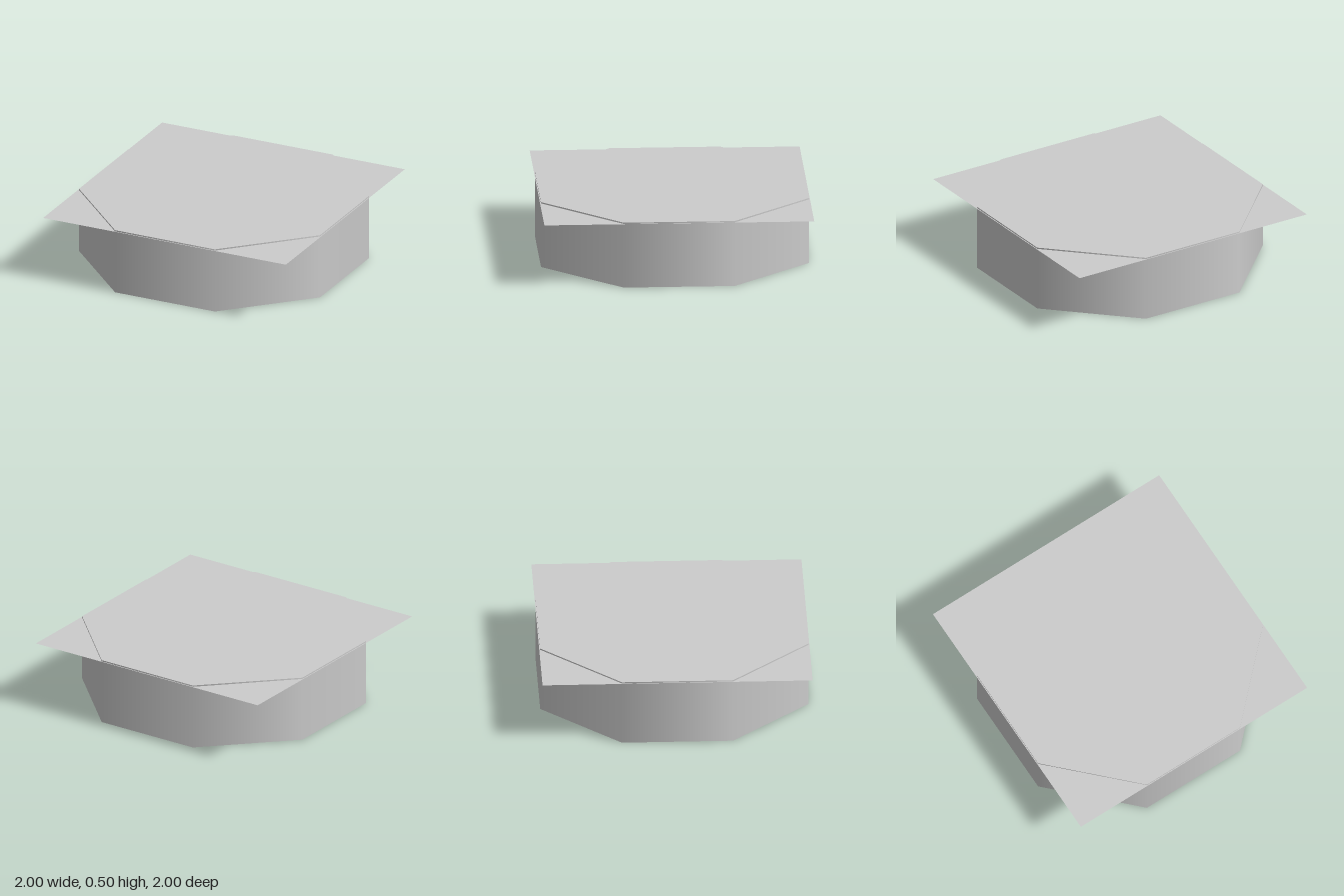
import * as THREE from 'three';

export function createModel() {
  const model = new THREE.Group();
  const height = 0.5, apothem = 0.993;

  // Eight-sided drum with smooth-shaded sides and flat faces at front, back and sides
  const drumGeometry = new THREE.CylinderGeometry(
    apothem / Math.cos(Math.PI / 8), apothem / Math.cos(Math.PI / 8), height, 8);
  drumGeometry.rotateY(Math.PI / 8);
  const drum = new THREE.Mesh(drumGeometry, new THREE.MeshStandardMaterial({ color: 0xcccccc }));
  drum.name = 'octagonalDrum';
  drum.position.y = height / 2;
  model.add(drum);

  // Thin square sheet just below the drum's top face
  const sheetGeometry = new THREE.PlaneGeometry(2, 2);
  sheetGeometry.rotateX(-Math.PI / 2);
  const sheet = new THREE.Mesh(sheetGeometry,
    new THREE.MeshStandardMaterial({ color: 0xcccccc, side: THREE.DoubleSide }));
  sheet.name = 'squareSheet';
  sheet.position.y = height - 0.01;
  model.add(sheet);

  return model;
}
